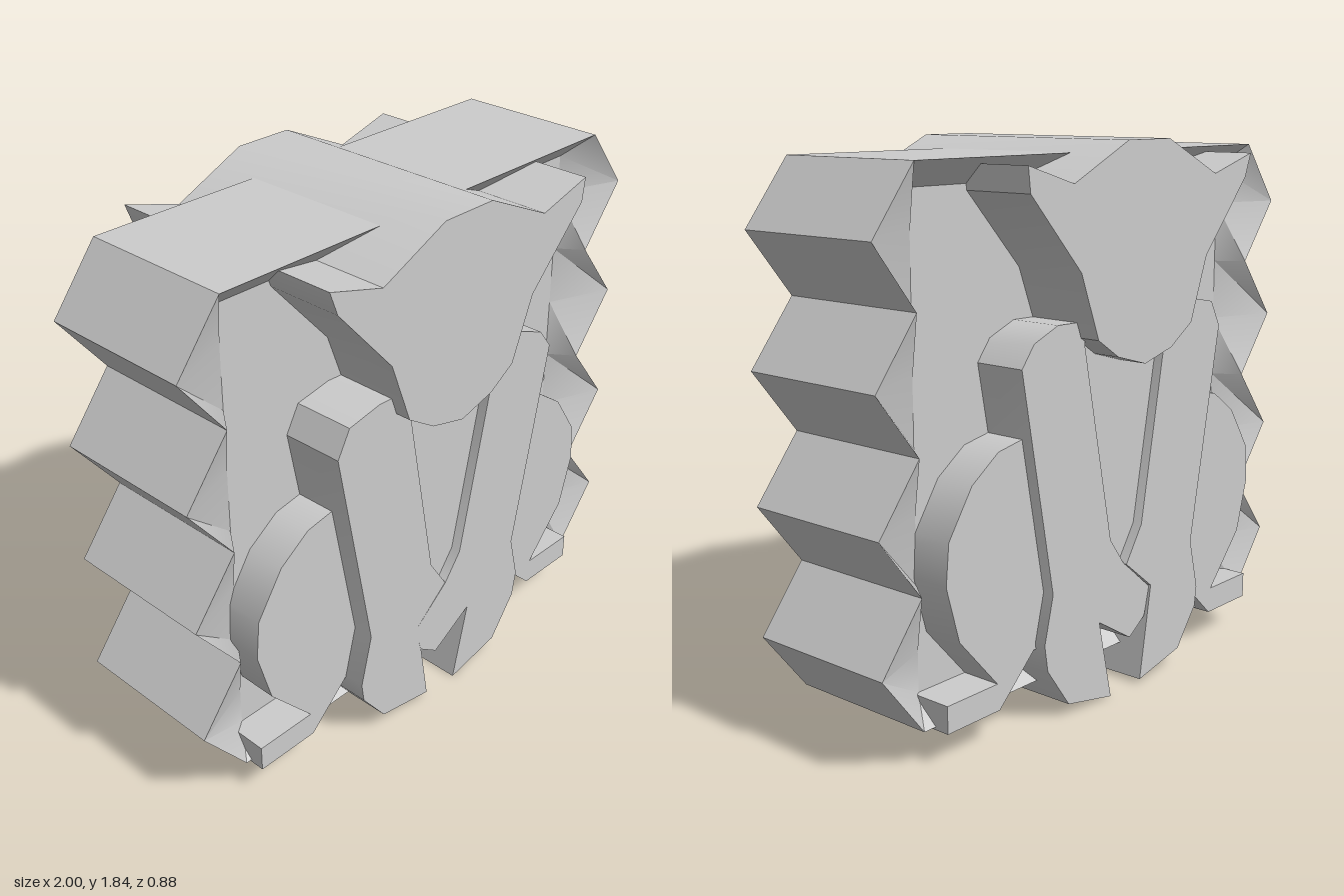
import * as THREE from 'three';
import { toCreasedNormals } from 'three/addons/utils/BufferGeometryUtils.js';

const material = new THREE.MeshStandardMaterial({ color: 0xcccccc });

// Extrude an outline between two depths
function plate(name, points, back, front) {
  const shape = new THREE.Shape(points.map(([x, y]) => new THREE.Vector2(x, y)));
  const geometry = new THREE.ExtrudeGeometry(shape, { depth: front - back, bevelEnabled: false });
  geometry.translate(0, 0, back);
  const mesh = new THREE.Mesh(toCreasedNormals(geometry, 0.6), material);
  mesh.name = name;
  return mesh;
}

// Zigzag-sided slab whose front and back slope inward to a recessed panel
function createSlab() {
  const group = new THREE.Group();
  group.name = 'slab';
  const back = -0.28, front = 0.26, recess = 0.09;
  const outline = [];
  for (let i = 0; i <= 8; i++) outline.push([i % 2 ? 1 : 0.835, 0.12 + i * 0.21]);
  for (let i = 8; i >= 0; i--) outline.push([i % 2 ? -1 : -0.835, 0.12 + i * 0.21]);
  const inner = outline.map(([x, y]) => [Math.sign(x) * 0.77, THREE.MathUtils.clamp(y, 0.2, 1.72)]);

  const rings = [
    [inner, back + recess], [outline, back], [outline, front], [inner, front - recess],
  ].map(([pts, z]) => pts.map(([x, y]) => [x, y, z]));
  const positions = [];
  const n = outline.length;
  for (let r = 0; r < 3; r++) {
    for (let i = 0; i < n; i++) {
      const j = (i + 1) % n;
      const a = rings[r][i], b = rings[r][j], c = rings[r + 1][j], d = rings[r + 1][i];
      positions.push(...a, ...b, ...c, ...a, ...c, ...d);
    }
  }
  const geometry = new THREE.BufferGeometry();
  geometry.setAttribute('position', new THREE.Float32BufferAttribute(positions, 3));
  const rim = new THREE.Mesh(toCreasedNormals(geometry, 0.6), material);
  rim.name = 'zigzagRim';

  const depth = front - back - 2 * recess;
  const panel = new THREE.Mesh(new THREE.BoxGeometry(1.54, 1.52, depth), material);
  panel.name = 'recessedPanel';
  panel.position.set(0, 0.96, (front + back) / 2);
  group.add(rim, panel);
  return group;
}

export function createModel() {
  const model = new THREE.Group();
  model.name = 'creatureBlock';
  model.add(createSlab());

  // Head with two pointed ears
  model.add(plate('head', [
    [-0.6, 1.78], [-0.57, 1.7], [-0.35, 1.455], [-0.27, 1.24], [-0.16, 1.17], [-0.02, 1.135],
    [0.12, 1.175], [0.22, 1.24], [0.305, 1.455], [0.535, 1.7], [0.545, 1.78], [0.34, 1.72],
    [0.08, 1.84], [-0.13, 1.84], [-0.39, 1.72],
  ], -0.44, 0.435));

  // Chest between the arms
  model.add(plate('chest', [
    [-0.3, 1.25], [-0.15, 0.5], [-0.01, 0.4], [0.1, 0.5], [0.28, 1.25],
  ], -0.345, 0.345));

  // Right arm, very slightly skewed
  const rightArm = plate('rightArm', [
    [-0.53, 1.19], [-0.385, 0.44], [-0.43, 0.26], [-0.42, 0.19], [-0.32, 0.06], [-0.095, 0.015],
    [-0.15, 0.34], [-0.01, 0.45], [-0.09, 0.57], [-0.21, 1.21], [-0.23, 1.3], [-0.35, 1.305],
    [-0.48, 1.28],
  ], -0.38, 0.378);
  rightArm.rotation.y = 0.012;
  model.add(rightArm);

  // Left arm, whose lower end hooks across the middle
  model.add(plate('leftArm', [
    [0.495, 1.18], [0.44, 1.25], [0.33, 1.293], [0.2, 1.29], [0.2, 1.21], [0.06, 0.55],
    [-0.01, 0.455], [-0.155, 0.335], [-0.13, 0.235], [-0.05, 0.18], [0.115, 0.28], [0.05, 0],
    [0.27, 0.045], [0.375, 0.19], [0.39, 0.28], [0.35, 0.44],
  ], -0.37, 0.38));

  // Rounded thighs, each with a flat foot
  const leg = [
    [0.3, 0.95], [0.46, 0.955], [0.57, 0.935], [0.685, 0.855], [0.785, 0.705], [0.798, 0.57],
    [0.745, 0.385], [0.58, 0.2], [0.8, 0.2], [0.8, 0.11], [0.57, 0.11], [0.41, 0.26], [0.3, 0.26],
  ];
  for (const side of [-1, 1]) {
    const points = leg.map(([x, y]) => [side * x - 0.013, y]);
    model.add(plate(side > 0 ? 'leftLeg' : 'rightLeg', points, -0.33, 0.31));
  }
  return model;
}
